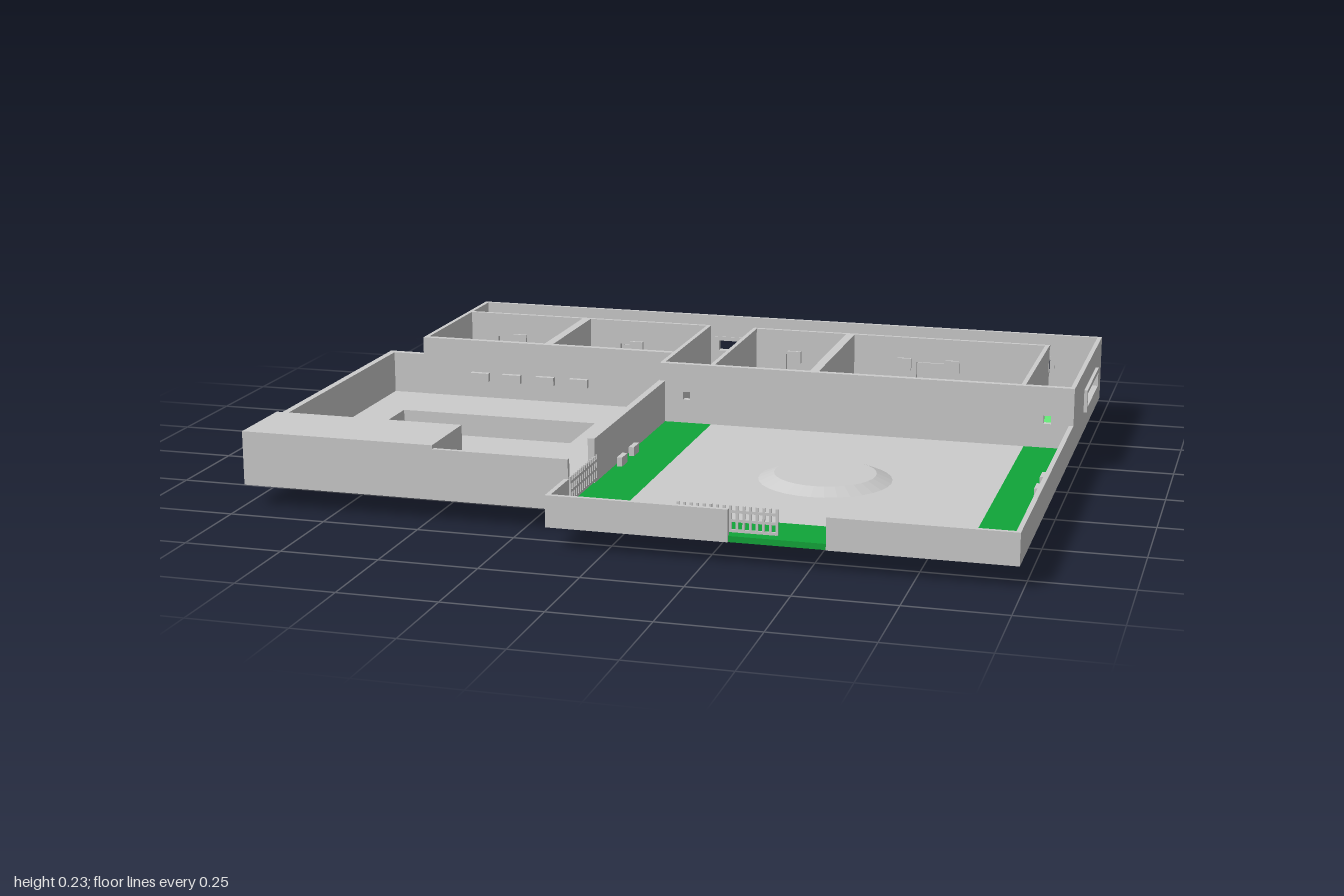
import * as THREE from 'three';

const grey = new THREE.MeshStandardMaterial({ color: 0xcccccc, flatShading: true });
const lawnGreen = new THREE.MeshStandardMaterial({ color: 0x10a539 });
const hallGreen = new THREE.MeshStandardMaterial({ color: 0x65ec79 });

const BASE = 0.055, FLOOR = 0.07, LOW = 0.135, MID = 0.185, HIGH = 0.235, T = 0.012;

export function createModel() {
  const root = new THREE.Group();
  root.name = 'building';

  const add = (name, geometry, material = grey) => {
    const mesh = new THREE.Mesh(geometry, material);
    mesh.name = name;
    root.add(mesh);
    return mesh;
  };
  // box from its minimum and maximum on each axis
  const box = (name, x0, x1, y0, y1, z0, z1, material) =>
    add(name, new THREE.BoxGeometry(x1 - x0, y1 - y0, z1 - z0), material)
      .position.set((x0 + x1) / 2, (y0 + y1) / 2, (z0 + z1) / 2);
  const rect = (Type, u0, u1, v0, v1) =>
    new Type([[u0, v0], [u1, v0], [u1, v1], [u0, v1]].map(p => new THREE.Vector2(...p)));
  // upright panel along x or z with rectangular openings [u0, u1, y0, y1]
  const wall = (name, axis, at, u0, u1, top, holes = [], y0 = BASE, depth = T) => {
    const shape = rect(THREE.Shape, u0, u1, y0, top);
    holes.forEach(h => shape.holes.push(rect(THREE.Path, ...h)));
    const g = new THREE.ExtrudeGeometry(shape, { depth, bevelEnabled: false });
    g.translate(0, 0, -depth / 2);
    if (axis === 'z') g.rotateY(-Math.PI / 2);
    const mesh = add(name, g);
    mesh.position[axis === 'z' ? 'x' : 'z'] = at;
  };
  // horizontal slab from plan corners, with optional rectangular hole
  const slab = (name, points, y0, y1, material, hole) => {
    const shape = new THREE.Shape(points.map(([x, z]) => new THREE.Vector2(x, -z)));
    if (hole) shape.holes.push(rect(THREE.Path, hole[0], hole[1], -hole[3], -hole[2]));
    const g = new THREE.ExtrudeGeometry(shape, { depth: y1 - y0, bevelEnabled: false });
    g.rotateX(-Math.PI / 2).translate(0, y0, 0);
    add(name, g, material);
  };

  // floors
  slab('corridorFloor', [[-0.892, -0.81], [0.98, -0.81], [0.98, -0.18], [0.86, -0.18], [0.86, -0.67],
    [0, -0.67], [0, -0.18], [-0.135, -0.18], [-0.135, -0.67], [-0.892, -0.67]], BASE, FLOOR, hallGreen);
  box('leftRoomsFloor', -0.885, -0.135, BASE, FLOOR, -0.67, -0.305);
  box('rightRoomsFloor', 0, 0.86, BASE, FLOOR, -0.67, -0.18);
  slab('lawn', [[-0.135, -0.18], [0, -0.18], [0, 0.68], [0.86, 0.68], [0.86, -0.18], [0.985, -0.18],
    [0.985, 0.815], [-0.135, 0.815]], BASE, FLOOR, lawnGreen);
  box('yardPaving', 0, 0.86, BASE, FLOOR, -0.18, 0.68);
  slab('poolDeck', [[-0.995, -0.305], [-0.135, -0.305], [-0.135, 0.67], [-0.995, 0.67]],
    BASE, FLOOR, grey, [-0.88, -0.305, -0.1, 0.25]);

  // sunken pool
  box('poolBottom', -0.88, -0.305, 0, 0.008, -0.1, 0.25);
  for (const z of [-0.1, 0.25]) wall('poolSide', 'x', z - Math.sign(z) * 0.003, -0.88, -0.305, FLOOR, [], 0, 0.006);
  for (const x of [-0.877, -0.308]) wall('poolEnd', 'z', x, -0.1, 0.25, FLOOR, [], 0, 0.006);

  // tall outer walls with windows
  const windows = [-0.68, -0.385, -0.09, 0.205, 0.5, 0.79];
  wall('backWall', 'x', -0.809, -0.89, 0.99, HIGH, windows.map(x => [x - 0.058, x + 0.058, 0.128, 0.162]));
  for (const x of windows)
    wall('windowFrame', 'x', -0.811, x - 0.068, x + 0.068, 0.172,
      [[x - 0.056, x + 0.056, 0.13, 0.16]], 0.118, 0.022);
  wall('rightWall', 'z', 0.984, -0.815, -0.165, HIGH, [[-0.665, -0.41, 0.125, 0.167]]);
  wall('sideWindowFrame', 'z', 0.987, -0.677, -0.398, 0.177, [[-0.663, -0.412, 0.127, 0.165]], 0.115, 0.024);
  wall('leftWall', 'z', -0.884, -0.815, -0.3, HIGH);

  // room walls with doorways onto the corridor
  const door = (x, w = 0.05) => [x - w / 2, x + w / 2, FLOOR + 0.001, 0.165];
  wall('leftRoomsBack', 'x', -0.665, -0.885, -0.135, HIGH, [door(-0.77), door(-0.385)]);
  wall('rightRoomsBack', 'x', -0.665, -0.003, 0.86, HIGH, [door(0.12), door(0.52, 0.08)]);
  for (const x of [-0.515, -0.14]) wall('leftRoomPartition', 'z', x, -0.665, -0.3, HIGH, [], BASE, x < -0.5 ? 0.025 : T);
  for (const x of [0, 0.285, 0.853]) wall('rightRoomPartition', 'z', x, -0.665, -0.175, HIGH, [], BASE, x === 0.285 ? 0.025 : T);
  for (const x of [-0.725, -0.36, 0.12, 0.445, 0.585])
    box('doorSign', x - 0.02, x + 0.02, 0.14, 0.175, -0.661, -0.651);
  wall('leftRoomsFront', 'x', -0.302, -0.89, -0.135, HIGH, [], BASE, 0.018);
  wall('yardBackWall', 'x', -0.177, -0.145, 0.99, HIGH,
    [-0.07, 0.92].map(x => [x - 0.01, x + 0.01, 0.135, 0.157]), BASE, 0.018);
  wall('corridorSideWall', 'z', -0.14, -0.31, -0.17, HIGH);

  // pool court walls and covered corner
  wall('courtLeftWall', 'z', -0.99, -0.31, 0.67, MID, [], BASE, 0.018);
  wall('courtBackWall', 'x', -0.304, -0.998, -0.885, MID, [], BASE, 0.02);
  wall('courtRightWall', 'z', -0.14, -0.175, 0.47, MID, [], BASE, 0.018);
  wall('courtFrontWall', 'x', 0.666, -0.998, -0.135, MID);
  wall('coveredRoomBack', 'x', 0.472, -0.99, -0.487, MID);
  wall('coveredRoomSide', 'z', -0.493, 0.47, 0.67, MID);
  box('coveredRoomRoof', -0.998, -0.487, MID, 0.195, 0.466, 0.672);

  // low yard walls with a gate gap in front
  wall('yardRightWall', 'z', 0.984, -0.17, 0.818, LOW);
  wall('yardLeftWall', 'z', -0.139, 0.66, 0.818, LOW);
  wall('yardFrontWall', 'x', 0.812, -0.145, 0.305, LOW);
  wall('yardFrontWall', 'x', 0.812, 0.54, 0.99, LOW);

  // barred gates
  const gate = (name, x, z, length, turn) => {
    const g = new THREE.Group();
    g.name = name;
    const bar = (w, h, px, py) => {
      const m = new THREE.Mesh(new THREE.BoxGeometry(w, h, 0.005), grey);
      m.name = 'gateBar';
      m.position.set(px, py, 0);
      g.add(m);
    };
    const n = Math.round(length / 0.016);
    for (let i = 0; i <= n; i++) bar(0.006, 0.064, (i / n) * length, 0.109);
    for (const y of [0.08, 0.105, 0.127]) bar(length, 0.007, length / 2, y);
    g.position.set(x, 0, z);
    g.rotation.y = turn;
    root.add(g);
  };
  gate('frontGate', 0.18, 0.802, 0.24, 0);
  gate('sideGate', -0.13, 0.67, 0.21, Math.PI / 2);

  // round raised ring in the yard
  const ring = new THREE.LatheGeometry(
    [[0.17, FLOOR], [0.13, 0.087], [0, 0.087]].map(p => new THREE.Vector2(...p)), 32);
  add('yardRing', ring, new THREE.MeshStandardMaterial({ color: 0xcccccc, flatShading: true, side: THREE.DoubleSide }))
    .position.set(0.42, 0, 0.28);

  // small wall lamps
  const lamp = (x, z, alongZ, y = 0.135) => {
    const a = alongZ ? 0.007 : 0.027, b = alongZ ? 0.024 : 0.007;
    box('lamp', x - a, x + a, y - 0.012, y + 0.012, z - b, z + b);
  };
  for (const x of [-0.71, -0.615, -0.515, -0.415]) lamp(x, -0.27, false);
  for (const x of [-0.785, -0.69]) lamp(x, 0.459, false);
  for (const x of [-0.385, -0.29]) lamp(x, 0.61, false, 0.085);
  for (const z of [0.19, 0.295]) for (const x of [-0.113, 0.96]) lamp(x, z, true, 0.085);

  return root;
}
